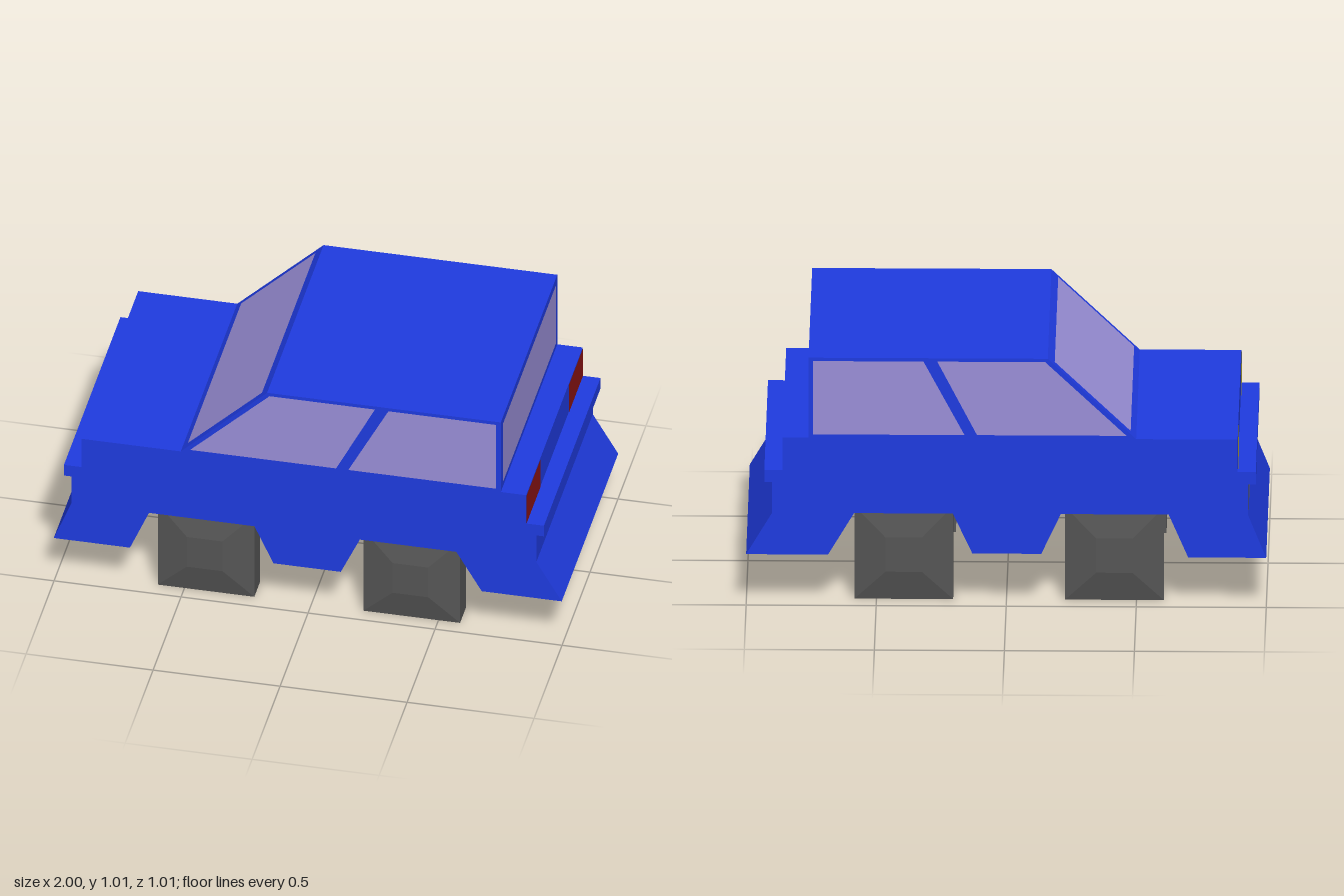
import * as THREE from 'three';

const HALF = 0.505; // half the width of the car

const material = (color) => new THREE.MeshStandardMaterial({ color, flatShading: true });

export function createModel() {
  const car = new THREE.Group();
  car.name = 'car';
  const blue = material(0x1f3be0);
  const glass = material(0x9a8fd8);
  const red = material(0x8a1414);
  const yellow = material(0xb8ac40);
  const grey = material(0x777777);
  const tyre = material(0x555555);

  const add = (name, geometry, mat, parent = car) => {
    const mesh = new THREE.Mesh(geometry, mat);
    mesh.name = name;
    parent.add(mesh);
    return mesh;
  };

  // Side outline carried across the full width
  const slab = (name, points) => {
    const shape = new THREE.Shape(points.map(([x, y]) => new THREE.Vector2(x, y)));
    const geometry = new THREE.ExtrudeGeometry(shape, { depth: HALF * 2, bevelEnabled: false });
    geometry.translate(0, 0, -HALF);
    add(name, geometry, blue);
  };

  // Flat four-cornered panel, lifted a hair off the surface it lies on
  const panel = (name, corners, mat) => {
    const v = corners.map((c) => new THREE.Vector3(...c));
    const normal = v[1].clone().sub(v[0]).cross(v[2].clone().sub(v[0])).normalize();
    v.forEach((p) => p.addScaledVector(normal, 0.002));
    const geometry = new THREE.BufferGeometry().setFromPoints(v);
    geometry.setIndex([0, 1, 2, 0, 2, 3]);
    geometry.computeVertexNormals();
    add(name, geometry, mat);
  };

  // Panel across the car: z0 < z1 faces the nose, z0 > z1 faces the tail or down
  const crossPanel = (name, [xa, ya], [xb, yb], z0, z1, mat) =>
    panel(name, [[xa, ya, z0], [xa, ya, z1], [xb, yb, z1], [xb, yb, z0]], mat);

  // Lower body with wheel arches, flared skirts and bumpers
  const underside = [
    [-1, 0.205], [-0.7, 0.205], [-0.625, 0.38], [-0.21, 0.38], [-0.135, 0.217],
    [0.13, 0.217], [0.205, 0.38], [0.585, 0.38], [0.685, 0.21], [1, 0.21],
  ];
  slab('body', [
    ...underside,
    [0.9, 0.38], [0.9, 0.505], [0.93, 0.505], [0.93, 0.555], [0.86, 0.555], [0.86, 0.688],
    [-0.89, 0.688], [-0.89, 0.555], [-0.96, 0.555], [-0.96, 0.505], [-0.93, 0.505], [-0.93, 0.38],
  ]);
  slab('cabin', [[-0.5, 0.688], [0.76, 0.688], [0.76, 1.015], [-0.16, 1.015]]);

  // Grey lining of the floor and wheel arches
  for (let i = 0; i < underside.length - 1; i++) {
    crossPanel('undersideLining', underside[i], underside[i + 1], HALF, -HALF, grey);
  }

  // Windscreen, rear window and grille
  crossPanel('windscreen', [-0.477, 0.71], [-0.185, 0.991], -0.477, 0.477, glass);
  crossPanel('rearWindow', [0.76, 0.715], [0.76, 0.988], 0.477, -0.477, glass);
  crossPanel('grille', [-0.93, 0.38], [-0.93, 0.505], -HALF, HALF, grey);

  // Side windows, mirrored
  const sideWindows = {
    frontSideWindow: [[-0.463, 0.702], [0.112, 0.702], [0.265, 1.002], [-0.15, 1.002]],
    rearSideWindow: [[0.16, 0.702], [0.742, 0.702], [0.742, 1.002], [0.318, 1.002]],
  };
  for (const [name, outline] of Object.entries(sideWindows)) {
    panel(name, outline.map(([x, y]) => [x, y, HALF]), glass);
    panel(name, outline.map(([x, y]) => [x, y, -HALF]).reverse(), glass);
  }

  // Lights at the outer corners
  for (const [za, zb] of [[-HALF, -0.255], [0.255, HALF]]) {
    crossPanel('headlight', [-0.89, 0.557], [-0.89, 0.687], za, zb, yellow);
    crossPanel('tailLight', [0.86, 0.557], [0.86, 0.687], zb, za, red);
  }

  // Square wheels with a tapered outer face
  for (const x of [-0.415, 0.395]) {
    for (const side of [1, -1]) {
      const wheel = new THREE.Group();
      wheel.name = 'wheel';
      add('tread', new THREE.BoxGeometry(0.38, 0.38, 0.103), tyre, wheel);
      const taper = new THREE.CylinderGeometry(0.07 * Math.SQRT2, 0.19 * Math.SQRT2, 0.026, 4);
      taper.rotateY(Math.PI / 4).rotateX(Math.PI / 2).translate(0, 0, 0.0645);
      add('hubFace', taper, tyre, wheel);
      wheel.position.set(x, 0.19, side > 0 ? 0.387 : -0.37);
      if (side < 0) wheel.rotation.y = Math.PI;
      car.add(wheel);
    }
  }

  return car;
}
